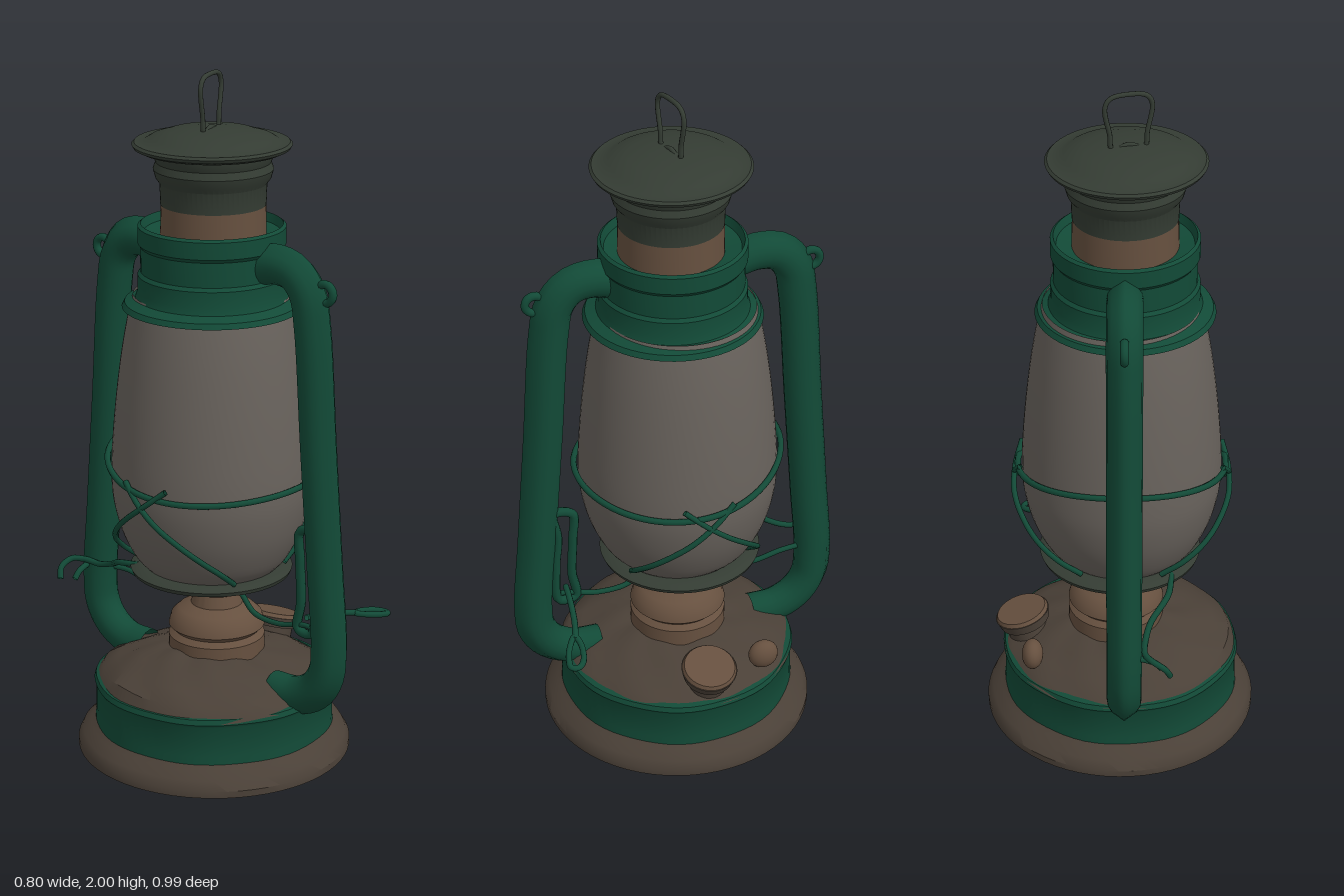
import * as THREE from 'three';
import { toCreasedNormals } from 'three/addons/utils/BufferGeometryUtils.js';

const mat = (color) => new THREE.MeshStandardMaterial({ color, side: THREE.DoubleSide });
const green = mat(0x124a37), olive = mat(0x343c33), brown = mat(0x4a4037);
const rust = mat(0x66503f), glass = mat(0x68625c);
const V = (x, y, z) => new THREE.Vector3(x, y, z);

export function createModel() {
  const group = new THREE.Group();

  const add = (name, geometry, material, x = 0, y = 0, z = 0) => {
    const mesh = new THREE.Mesh(geometry, material);
    mesh.name = name;
    mesh.position.set(x, y, z);
    group.add(mesh);
    return mesh;
  };

  // Turned part from [radius, height] pairs; dent(angle, radius, y) gives [radial, vertical] wear
  const turned = (name, profile, material, x = 0, z = 0, dent = null) => {
    const g = new THREE.LatheGeometry(profile.map(([r, y]) => new THREE.Vector2(r, y)), 64);
    if (dent) {
      const p = g.attributes.position;
      for (let i = 0; i < p.count; i++) {
        const px = p.getX(i), py = p.getY(i), pz = p.getZ(i);
        const r = Math.hypot(px, pz);
        if (r < 1e-4) continue;
        const [dr, dy] = dent(Math.atan2(pz, px), r, py);
        p.setXYZ(i, px * (1 + dr / r), py + dy, pz * (1 + dr / r));
      }
    }
    return add(name, toCreasedNormals(g, 0.6), material, x, 0, z);
  };

  // Bent wire through points
  const wire = (name, points, radius = 0.008, closed = false, material = green) =>
    add(name, new THREE.TubeGeometry(
      new THREE.CatmullRomCurve3(points, closed, 'centripetal'), points.length * 8, radius, 8, closed), material);

  // Fuel tank: flared foot, drum and dented dome
  const footWear = (a) => [0.004 * Math.sin(5 * a) * Math.sin(3 * a + 1), 0];
  turned('foot', [[0, 0], [0.4, 0], [0.4, 0.02], [0.385, 0.045], [0.36, 0.065], [0.345, 0.08]],
    brown, 0, 0, (a, r, y) => (y > 0.03 ? footWear(a) : [0, 0]));
  turned('tankDrum', [[0.348, 0.07], [0.346, 0.1], [0.344, 0.19], [0.35, 0.2], [0.345, 0.215], [0.33, 0.22]],
    green, 0, 0, footWear);
  turned('tankDome', [[0.347, 0.205], [0.325, 0.228], [0.28, 0.25], [0.22, 0.275], [0.15, 0.295], [0, 0.31]],
    brown, 0, 0, (a, r, y) => {
      const k = Math.max(0, -Math.cos(a)) * (r < 0.34 ? 0.016 : 0);
      return [0, k + 0.006 * Math.sin(7 * a) * Math.sin(r * 30 + 2 * a)];
    });

  // Filler cap, tilted outwards, and the small knob behind it
  const filler = new THREE.Group();
  filler.name = 'fillerCap';
  const disc = (r1, r2, h, y, m) => {
    const c = new THREE.Mesh(new THREE.CylinderGeometry(r1, r2, h, 32), m);
    c.position.y = y;
    filler.add(c);
  };
  disc(0.06, 0.06, 0.09, -0.045, brown);
  disc(0.082, 0.074, 0.03, 0.01, brown);
  disc(0.074, 0.08, 0.012, 0.03, rust);
  filler.position.set(0.285, 0.28, -0.005);
  filler.rotation.z = -0.28;
  group.add(filler);
  add('tankKnob', new THREE.SphereGeometry(0.045, 20, 14), rust, 0.255, 0.285, -0.185).scale.x = 0.7;

  // Burner
  turned('burner', [[0.14, 0.28], [0.14, 0.34], [0.125, 0.355], [0.14, 0.37], [0.132, 0.4], [0.11, 0.42],
    [0.075, 0.435], [0.065, 0.47], [0.08, 0.49], [0.08, 0.515], [0.05, 0.55]], rust, 0.012, 0);

  // Globe plate with rolled rim
  turned('globePlate', [[0.06, 0.5], [0.13, 0.515], [0.19, 0.53], [0.23, 0.54], [0.235, 0.552],
    [0.22, 0.56], [0.2, 0.565], [0, 0.565]], olive, 0, -0.01);

  // Glass globe
  const globePoints = [[0.19, 0.56], [0.225, 0.6], [0.262, 0.68], [0.283, 0.77], [0.287, 0.85], [0.282, 0.95],
    [0.27, 1.08], [0.253, 1.21], [0.233, 1.32], [0.22, 1.37]];
  const globeCurve = new THREE.SplineCurve(globePoints.map(([r, y]) => new THREE.Vector2(r, y)));
  turned('globe', globeCurve.getPoints(36).map((p) => [p.x, p.y]), glass, -0.005, -0.005);

  // Collar with flared skirt
  turned('collar', [[0.2, 1.36], [0.235, 1.345], [0.253, 1.337], [0.245, 1.352], [0.215, 1.365], [0.208, 1.385],
    [0.208, 1.43], [0.2, 1.44], [0.2, 1.51], [0.207, 1.52], [0.207, 1.568], [0.198, 1.575], [0.19, 1.55], [0.14, 1.54]],
  green, -0.015, 0.005);

  // Chimney and lid
  turned('chimney', [[0.148, 1.53], [0.145, 1.69]], rust, -0.015, 0.01);
  turned('chimneyBand', [[0.147, 1.63], [0.149, 1.69], [0.16, 1.705], [0.167, 1.73], [0.16, 1.75], [0.168, 1.77], [0.17, 1.79]],
    olive, -0.015, 0.01);
  turned('lid', [[0.15, 1.785], [0.2, 1.782], [0.217, 1.79], [0.222, 1.799], [0.215, 1.806], [0.19, 1.806],
    [0.17, 1.818], [0.12, 1.834], [0.06, 1.842], [0, 1.845]], olive, -0.018, 0.008);

  // Lifting ring on the lid
  const bail = wire('lidHandle', [[-0.045, 1.835], [-0.052, 1.88], [-0.065, 1.96], [-0.05, 1.985], [0, 1.993],
    [0.05, 1.985], [0.065, 1.96], [0.052, 1.88], [0.045, 1.835], [0, 1.846]].map(([x, y]) => V(x, y, 0)),
  0.007, true, olive);
  bail.position.set(-0.023, 0, 0.008);
  bail.rotation.y = 0.25;

  // Side air tube: ridged section swept along a path in the y-z plane
  const sideTube = (side) => {
    const path = new THREE.CatmullRomCurve3([[1.475, 0.17], [1.49, 0.24], [1.478, 0.3], [1.43, 0.342], [1.34, 0.36],
      [1.0, 0.386], [0.65, 0.414], [0.42, 0.432], [0.335, 0.424], [0.275, 0.385], [0.24, 0.32], [0.235, 0.24]]
      .map(([y, z]) => V(0, y, z)), false, 'centripetal');
    const steps = 72, sides = 16, pos = [], index = [];
    for (let i = 0; i <= steps; i++) {
      const c = path.getPointAt(i / steps), t = path.getTangentAt(i / steps);
      for (let j = 0; j < sides; j++) {
        const a = (j / sides) * Math.PI * 2;
        const out = 0.052 * Math.cos(a) + (j === 0 ? 0.01 : 0);
        pos.push(0.05 * Math.sin(a), c.y + t.z * out, side * (c.z - t.y * out));
        if (i < steps) {
          const p = i * sides + j, q = i * sides + (j + 1) % sides;
          index.push(p, q, p + sides, q, q + sides, p + sides);
        }
      }
    }
    const g = new THREE.BufferGeometry();
    g.setAttribute('position', new THREE.Float32BufferAttribute(pos, 3));
    g.setIndex(side > 0 ? index : index.reverse());
    g.computeVertexNormals();
    // DoubleSide flips normals by winding, so keep winding outward
    const ax = g.attributes.normal.getX(36 * sides + 4);
    if (ax < 0) {
      g.setIndex(Array.from(g.index.array).reverse());
      g.computeVertexNormals();
    }
    return g;
  };
  for (const side of [1, -1]) {
    const end = side > 0 ? 'front' : 'back';
    add(end + 'Tube', sideTube(side), green, -0.015);
    // Eyelet for a carrying handle
    const ear = add(end + 'Eyelet', new THREE.TorusGeometry(0.026, 0.012, 10, 20), green, -0.015, 1.44, side * 0.402);
    ear.rotation.y = Math.PI / 2;
    // Brace wires from the burner to the tube
    wire(end + 'Brace', [V(0, 0.52, side * 0.06), V(0, 0.49, side * 0.1), V(0, 0.44, side * 0.15),
      V(0, 0.43, side * 0.24), V(0, 0.45, side * 0.33), V(-0.01, 0.45, side * 0.41)]);
  }

  // Globe guard: a sagging ring and crossed wires on each side
  const onGlobe = (a, y, gap = 0.008) => {
    let k = 0;
    while (k < globePoints.length - 2 && globePoints[k + 1][1] < y) k++;
    const [r0, y0] = globePoints[k], [r1, y1] = globePoints[k + 1];
    const r = r0 + (r1 - r0) * (y - y0) / (y1 - y0) + gap;
    return V(r * Math.cos(a) - 0.005, y, r * Math.sin(a) - 0.005);
  };
  const ring = [];
  for (let i = 0; i < 24; i++) {
    const a = (i / 24) * Math.PI * 2;
    ring.push(onGlobe(a, 0.845 + 0.035 * Math.sin(a) ** 2 - 0.03 * Math.sin(a), 0.012));
  }
  wire('guardRing', ring, 0.009, true);
  for (const mid of [0, Math.PI]) {
    for (const s of [1, -1]) {
      const pts = [];
      for (let i = 0; i <= 6; i++) {
        const t = i / 6;
        pts.push(onGlobe(mid + s * (-0.25 + 1.25 * t), 0.87 - 0.3 * t, 0.012 + 0.02 * Math.sin(Math.PI * t)));
      }
      wire('guardWire', pts);
    }
  }

  // Globe lifting lever beside the front tube
  wire('liftLever', [V(0, 0.74, 0.37), V(0, 0.73, 0.315), V(0, 0.64, 0.315), V(0, 0.52, 0.32),
    V(0, 0.435, 0.31), V(0, 0.43, 0.36), V(0, 0.55, 0.368), V(0, 0.65, 0.36)], 0.014, true);

  // Wick crank ending in a flat loop
  wire('wickCrank', [V(0, 0.475, 0.34), V(0.06, 0.47, 0.345), V(0.14, 0.45, 0.355), V(0.2, 0.435, 0.37)], 0.009);
  wire('crankLoop', [V(0.19, 0.437, 0.37), V(0.22, 0.43, 0.36), V(0.28, 0.418, 0.37), V(0.3, 0.413, 0.39),
    V(0.295, 0.414, 0.41), V(0.26, 0.42, 0.408), V(0.215, 0.43, 0.39)], 0.009, true);

  // Bent hook behind the back tube, with its wire to the globe plate
  wire('backHook', [V(-0.145, 0.43, -0.475), V(-0.13, 0.46, -0.485), V(-0.095, 0.48, -0.475),
    V(-0.075, 0.48, -0.445), V(-0.075, 0.48, -0.38), V(-0.09, 0.5, -0.32), V(-0.14, 0.54, -0.24), V(-0.15, 0.555, -0.16)], 0.009);
  wire('hookFork', [V(-0.12, 0.43, -0.44), V(-0.1, 0.45, -0.44), V(-0.03, 0.47, -0.44)], 0.009);

  return group;
}
